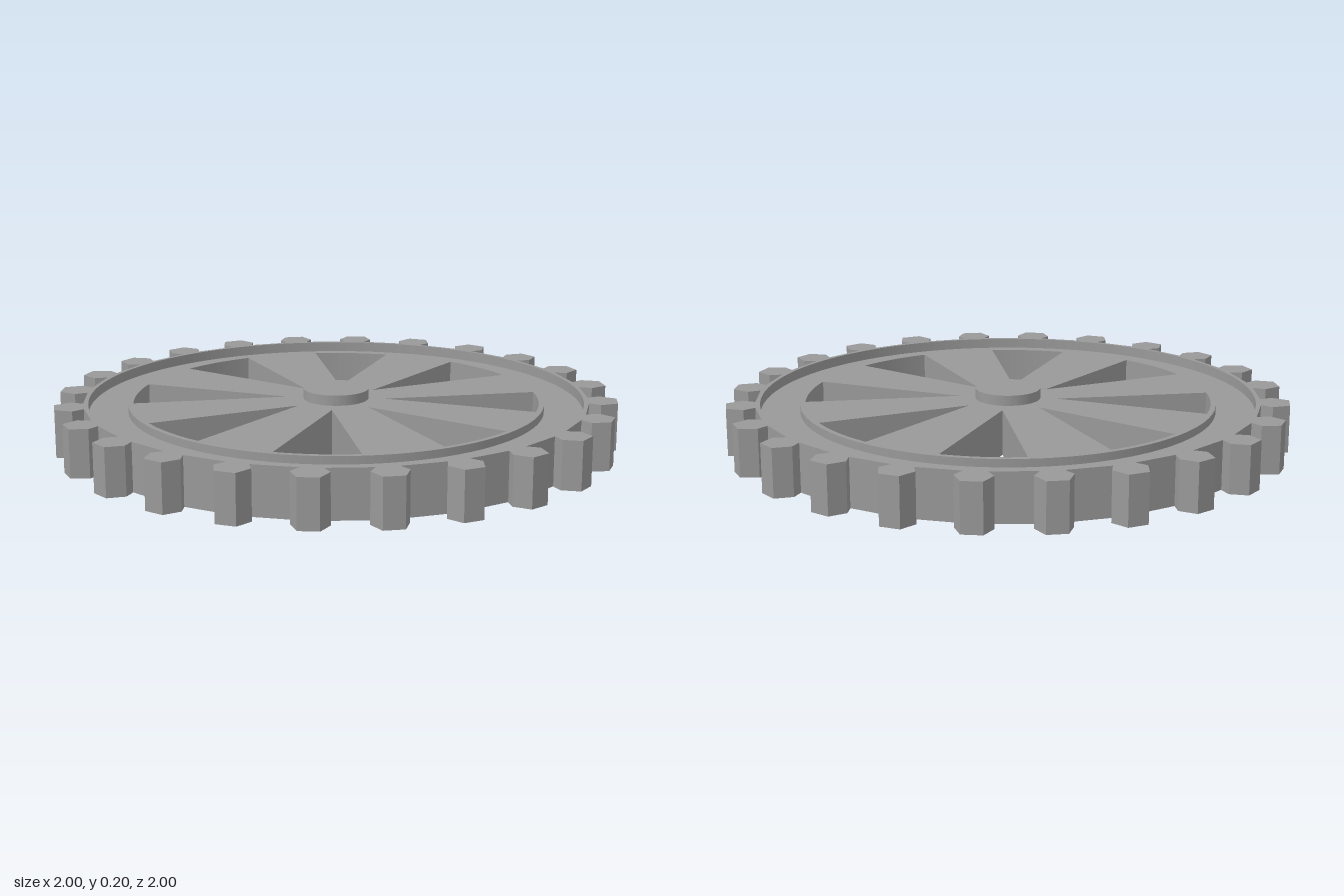
import * as THREE from 'three';
import { toCreasedNormals } from 'three/addons/utils/BufferGeometryUtils.js';

const TEETH = 24, SPOKES = 8;
const RIM_INNER = 0.885, DISC_R = 0.745, HUB_R = 0.117;
const RIM_TOP = 0.172, WEB_TOP = 0.135, DISC_TOP = 0.163, HUB_TOP = 0.2;

// point at radius r along direction a, shifted sideways by t
const polar = (a, r, t = 0) => new THREE.Vector2(
  r * Math.cos(a) - t * Math.sin(a), r * Math.sin(a) + t * Math.cos(a));

const circle = (r, Type = THREE.Shape) => new Type().absarc(0, 0, r, 0, Math.PI * 2, false);

// toothed outline: narrow root, wide shoulder, narrow tip
function toothedOutline() {
  const profile = [[0.902, -0.039], [0.943, -0.063], [1.004, -0.036],
    [1.004, 0.036], [0.943, 0.063], [0.902, 0.039]];
  const pts = [];
  for (let i = 0; i < TEETH; i++) {
    const a = (i + 0.5) * Math.PI * 2 / TEETH;
    for (const [r, t] of profile) pts.push(polar(a, r, t));
  }
  return new THREE.Shape(pts);
}

// wedge opening between two spokes
function wedge(i) {
  const a = (i + 0.5) * Math.PI * 2 / SPOKES, half = 0.198;
  const apex = polar(a, 0.176);
  const path = new THREE.Path();
  path.moveTo(apex.x, apex.y);
  path.absarc(0, 0, 0.726, a - half, a + half, false);
  path.lineTo(apex.x, apex.y);
  return path;
}

export function createModel() {
  const group = new THREE.Group();
  const metal = new THREE.MeshStandardMaterial({ color: 0x999999 });
  metal.name = 'grey metal';

  // upright slab from a flat outline with holes
  function slab(name, shape, holes, height, segments) {
    shape.holes.push(...holes);
    const flat = new THREE.ExtrudeGeometry(shape, {
      depth: height, bevelEnabled: false, curveSegments: segments });
    flat.rotateX(-Math.PI / 2);
    const mesh = new THREE.Mesh(toCreasedNormals(flat, 0.3), metal);
    mesh.name = name;
    group.add(mesh);
    return mesh;
  }

  slab('toothedRim', toothedOutline(), [circle(RIM_INNER, THREE.Path)], RIM_TOP, 96);
  // sunken band between rim and spokes
  slab('recessedBand', circle(RIM_INNER), [circle(DISC_R, THREE.Path)], WEB_TOP, 96);
  const wedges = Array.from({ length: SPOKES }, (_, i) => wedge(i));
  slab('spokedDisc', circle(DISC_R), wedges, DISC_TOP, 96);
  slab('hub', circle(HUB_R), [], HUB_TOP - DISC_TOP, 48).position.y = DISC_TOP;

  return group;
}
